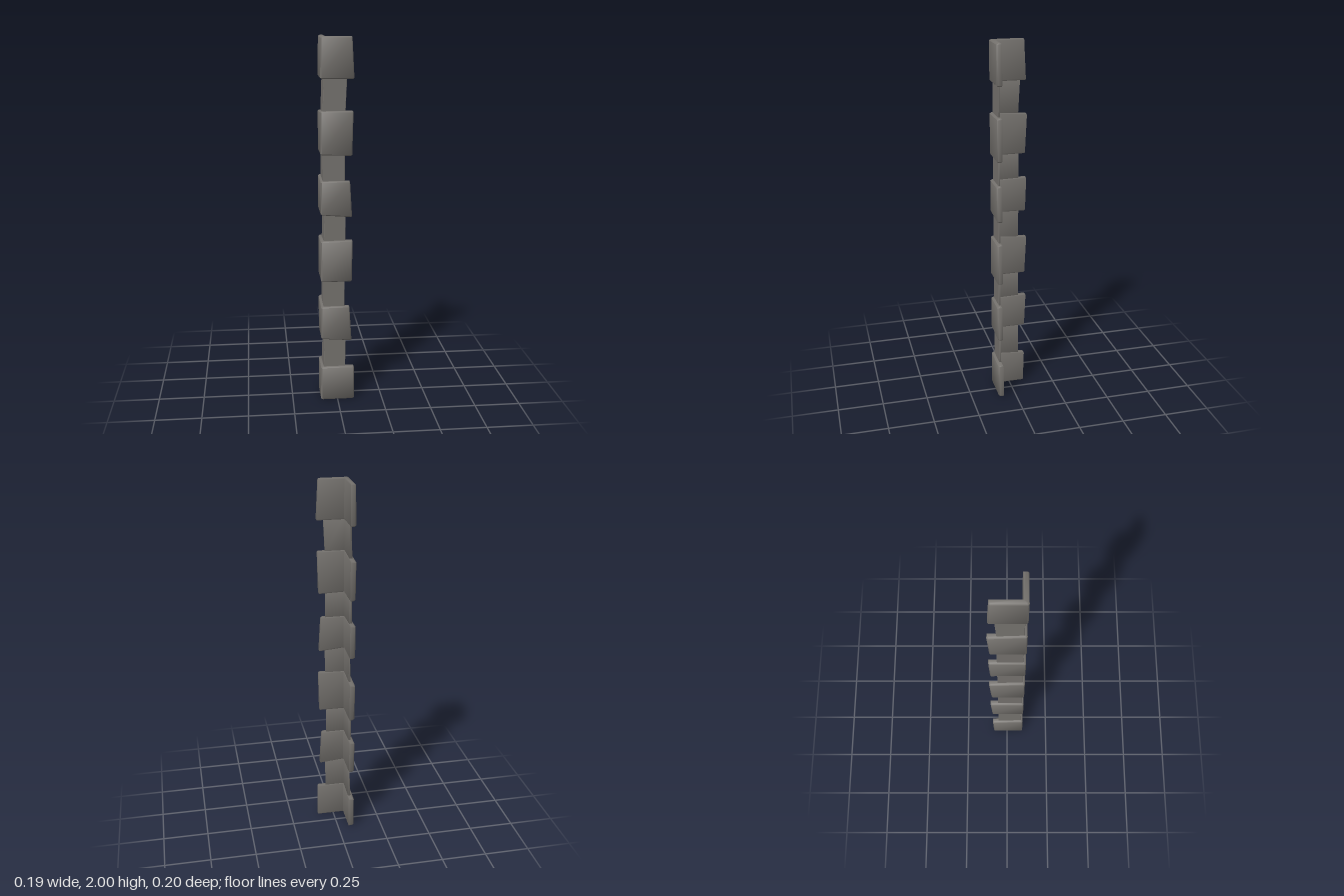
import * as THREE from 'three';
import { toCreasedNormals } from 'three/addons/utils/BufferGeometryUtils.js';

// L-shaped outline, listed from the back end round the outer corner to the right end
function outline(o, b, inset, innerX, innerZ) {
  const l = o.left + inset, f = o.front - inset, r = o.right - inset / 2, k = o.back + inset / 2;
  const ix = innerX - inset / 2, iz = innerZ + inset / 2;
  return [[ix, k], [l + b, k], [l, k + b], [l, f - b], [l + b, f], [r - b, f], [r, f - b], [r, iz], [ix, iz]];
}

// One corner stone: bevelled edges, sloping top and bottom
function stoneGeometry(s, b, innerX, innerZ, crease) {
  const mix = t => ({
    left: THREE.MathUtils.lerp(s.left[0], s.left[1], t),
    front: s.front,
    right: THREE.MathUtils.lerp(s.right[0], s.right[1], t),
    back: THREE.MathUtils.lerp(s.back[0], s.back[1], t),
  });
  const levels = [[0, 0, b], [0, b, 0], [1, -b, 0], [1, 0, b]];
  const pos = [], idx = [], n = 9;
  for (const [t, dy, inset] of levels) {
    const [y, dRight, dBack] = t ? s.top : s.bottom;
    for (const [x, z] of outline(mix(t), b, inset, innerX, innerZ)) {
      const slope = dRight * Math.max(0, x - innerX) / 0.14 + dBack * Math.max(0, innerZ - z) / 0.16;
      pos.push(x, y + dy + slope, z);
    }
  }
  for (let r = 0; r < 3; r++) for (let i = 0; i < n; i++) {
    const a = r * n + i, c = r * n + (i + 1) % n;
    idx.push(a, c, c + n, a, c + n, a + n);
  }
  // Caps fan out from the inner corner
  for (let i = 0; i < 7; i++) {
    idx.push(8, i + 1, i, 3 * n + 8, 3 * n + i, 3 * n + i + 1);
  }
  const g = new THREE.BufferGeometry();
  g.setAttribute('position', new THREE.Float32BufferAttribute(pos, 3));
  g.setIndex(idx);
  return toCreasedNormals(g, crease);
}

export function createModel() {
  const group = new THREE.Group();
  group.name = 'cornerStones';
  const stone = new THREE.MeshStandardMaterial({ color: 0x74716d });
  stone.name = 'greyStone';

  const add = (name, ...shape) => {
    const m = new THREE.Mesh(stoneGeometry(...shape), stone);
    m.name = name;
    group.add(m);
  };

  // Wide stones: [height, drop at right end, drop at back end]; other pairs are [bottom, top]
  const wide = [
    { bottom: [0, 0, 0], top: [0.197, 0, -0.013], left: [-0.093, -0.091], right: [0.092, 0.091], back: [-0.084, -0.089] },
    { bottom: [0.364, -0.013, 0], top: [0.552, 0, 0.005], left: [-0.09, -0.09], right: [0.077, 0.065], back: [-0.089, -0.097] },
    { bottom: [0.695, 0, 0], top: [0.924, 0.003, -0.012], left: [-0.09, -0.09], right: [0.077, 0.081], back: [-0.089, -0.099] },
    { bottom: [1.068, -0.013, -0.003], top: [1.252, 0, 0.004], left: [-0.09, -0.09], right: [0.077, 0.066], back: [-0.091, -0.097] },
    { bottom: [1.391, -0.004, 0], top: [1.621, 0, -0.013], left: [-0.09, -0.09], right: [0.077, 0.082], back: [-0.089, -0.099] },
    { bottom: [1.786, 0, 0], top: [2, 0, 0], left: [-0.09, -0.088], right: [0.086, 0.075], back: [-0.092, -0.082] },
  ];
  wide.forEach((s, i) => add(`wideStone${i + 1}`, { ...s, front: 0.098 }, 0.006, -0.06, 0.07, 0.9));

  // Narrow stones, slightly recessed and tucked into the wide ones above and below
  const narrow = [
    { y: [0.175, 0.385], left: [-0.078, -0.07], right: [0.043, 0.046], back: [-0.053, -0.055] },
    { y: [0.535, 0.715], left: [-0.077, -0.077], right: [0.039, 0.039], back: [-0.055, -0.053] },
    { y: [0.9, 1.09], left: [-0.075, -0.069], right: [0.043, 0.044], back: [-0.052, -0.054] },
    { y: [1.235, 1.41], left: [-0.078, -0.078], right: [0.04, 0.039], back: [-0.055, -0.053] },
    { y: [1.6, 1.805], left: [-0.079, -0.071], right: [0.041, 0.05], back: [-0.051, -0.062] },
  ];
  narrow.forEach((s, i) => add(`narrowStone${i + 1}`,
    { ...s, bottom: [s.y[0], 0, 0], top: [s.y[1], 0, 0], front: 0.084 }, 0.002, -0.063, 0.073, 0.5));

  return group;
}
